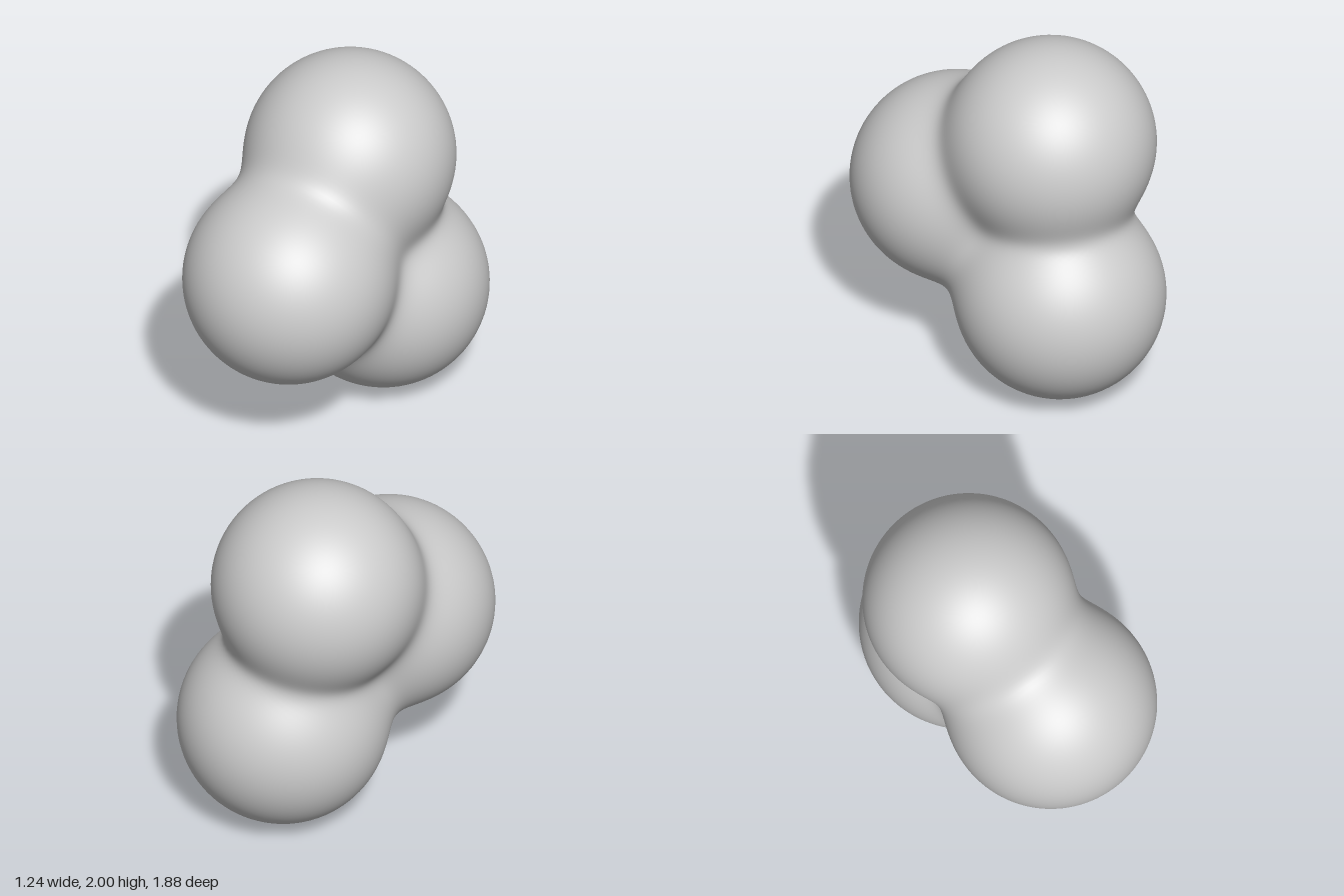
import * as THREE from 'three';
import { mergeVertices } from 'three/addons/utils/BufferGeometryUtils.js';

// Three equal lobes melted into one another
const RADIUS = 0.566;
const BLEND = 0.065;
const CORE = new THREE.Vector3(0, 0.99, -0.08);
const LOBES = [
  new THREE.Vector3(-0.055, 1.432, -0.225), // upper
  new THREE.Vector3(-0.005, 0.972, 0.376), // front
  new THREE.Vector3(0.053, 0.568, -0.375), // lower back
];

// Smooth union of the lobes: negative inside, positive outside
function distance(p) {
  let sum = 0;
  for (const c of LOBES) sum += Math.exp(-(p.distanceTo(c) - RADIUS) / BLEND);
  return -BLEND * Math.log(sum);
}

// The core lies inside every lobe, so each ray from it meets the skin once
function skinPoint(dir, out) {
  let near = 0, far = 2;
  for (let i = 0; i < 24; i++) {
    const mid = (near + far) / 2;
    out.copy(CORE).addScaledVector(dir, mid);
    if (distance(out) < 0) near = mid;
    else far = mid;
  }
  return out;
}

export function createModel() {
  // Even sphere with shared vertices, pushed out to the blended skin
  let geometry = new THREE.IcosahedronGeometry(1, 28);
  geometry.deleteAttribute('uv');
  geometry.deleteAttribute('normal');
  geometry = mergeVertices(geometry, 1e-4);
  const pos = geometry.attributes.position;
  const dir = new THREE.Vector3(), point = new THREE.Vector3();
  for (let i = 0; i < pos.count; i++) {
    dir.fromBufferAttribute(pos, i).normalize();
    skinPoint(dir, point);
    pos.setXYZ(i, point.x, point.y, point.z);
  }
  geometry.computeVertexNormals();

  const blob = new THREE.Mesh(geometry, new THREE.MeshStandardMaterial({ color: 0xcccccc }));
  blob.name = 'threeLobedBlob';
  const group = new THREE.Group();
  group.name = 'blendedSpheres';
  group.add(blob);
  return group;
}
